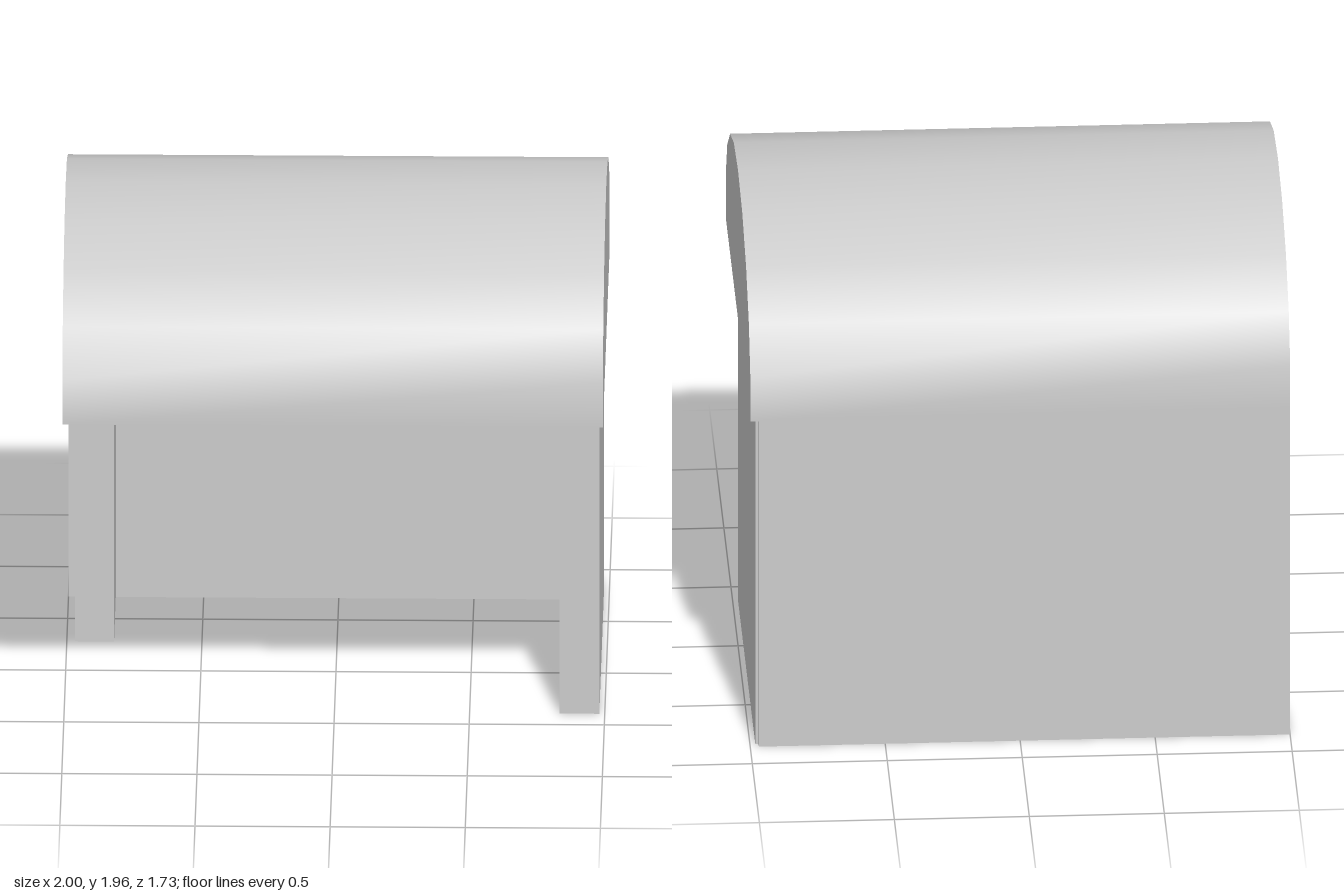
import * as THREE from 'three';

const mat = new THREE.MeshStandardMaterial({ color: 0xcccccc, side: THREE.DoubleSide });
const EAVE = 1.342;

// Half-ellipse arch in (z, y) with short upright sides down to the eave, back to front
function archProfile(halfDepth, top, springY) {
  const s = Math.sin(THREE.MathUtils.degToRad(80)), c = Math.cos(THREE.MathUtils.degToRad(80));
  const b = (top - springY) / (1 - c), cy = top - b;
  const pts = [new THREE.Vector2(-halfDepth, EAVE)];
  for (let d = -80; d <= 80; d += 20) {
    const t = THREE.MathUtils.degToRad(d);
    pts.push(new THREE.Vector2((halfDepth / s) * Math.sin(t), cy + b * Math.cos(t)));
  }
  pts.push(new THREE.Vector2(halfDepth, EAVE));
  return pts;
}

// Curved sheet: a plane whose rows follow the arch
function archSheet(profile, halfWidth) {
  const g = new THREE.PlaneGeometry(2 * halfWidth, 1, 1, profile.length - 1);
  const pos = g.attributes.position;
  for (let i = 0; i < pos.count; i++) {
    const p = profile[Math.floor(i / 2)];
    pos.setXYZ(i, pos.getX(i), p.y, p.x);
  }
  g.computeVertexNormals();
  return g;
}

export function createModel() {
  const group = new THREE.Group();
  const add = (name, geometry, parent = group) => {
    const mesh = new THREE.Mesh(geometry, mat);
    mesh.name = name;
    parent.add(mesh);
  };

  // Hollow vaulted roof: outer and inner vaults, each with two flat ends
  const roof = new THREE.Group();
  roof.name = 'roof';
  group.add(roof);
  const vaults = [
    ['outer', archProfile(0.866, 1.955, 1.52), 1],
    ['inner', archProfile(0.72, 1.8, 1.45), 0.83],
  ];
  for (const [label, profile, halfWidth] of vaults) {
    add(label + 'Vault', archSheet(profile, halfWidth), roof);
    for (const side of [-1, 1]) {
      const end = new THREE.ShapeGeometry(new THREE.Shape(profile));
      end.rotateY((side * Math.PI) / 2).translate(side * halfWidth, 0, 0);
      add(label + 'Gable', end, roof);
    }
  }

  // Underside rim framing the hollow
  const rect = (w, d) => [[-w, -d], [w, -d], [w, d], [-w, d]].map(([x, y]) => new THREE.Vector2(x, y));
  const rim = new THREE.Shape(rect(1, 0.866));
  rim.holes.push(new THREE.Path(rect(0.83, 0.72)));
  add('roofRim', new THREE.ShapeGeometry(rim).rotateX(Math.PI / 2).translate(0, EAVE, 0), roof);

  // Upright panels, given by their x and z limits; the right wall is a short return
  const panel = (name, x0, x1, z0, z1) =>
    add(name, new THREE.BoxGeometry(x1 - x0, EAVE, z1 - z0)
      .translate((x0 + x1) / 2, EAVE / 2, (z0 + z1) / 2));
  panel('backWall', -1, 0.968, -0.857, -0.71);
  panel('leftWall', 0.833, 0.98, -0.835, 0.393);
  panel('rightWall', -0.97, -0.825, -0.835, -0.28);

  return group;
}
